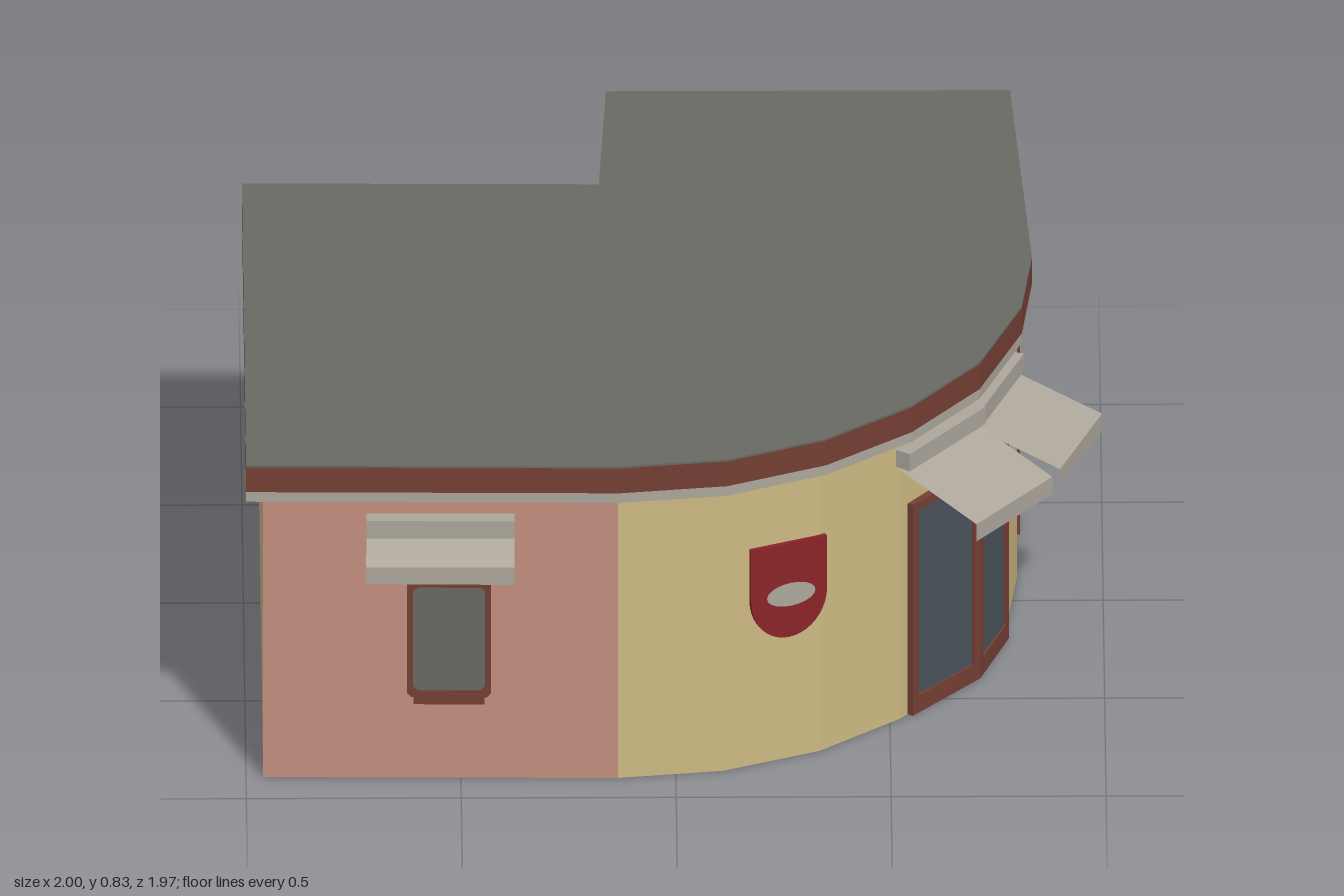
import * as THREE from 'three';

const mat = (name, color) =>
  new THREE.MeshStandardMaterial({ name, color, side: THREE.DoubleSide });

export function createModel() {
  const yellow = mat('yellow plaster', 0xccb882);
  const pink = mat('pink plaster', 0xc48e80);
  const grey = mat('roof grey', 0x686962);
  const pale = mat('pale grey', 0xaca69b);
  const brown = mat('brown', 0x743f34);
  const blue = mat('door glass', 0x4a535b);
  const red = mat('red', 0x8a2428);

  const model = new THREE.Group();
  model.name = 'cornerBuilding';

  // Plan outlines as [x, z], running along the front and round the curved corner
  const wallPlan = [[-0.96, 0.89], [-0.135, 0.9], [0.11, 0.865], [0.335, 0.765], [0.525, 0.6], [0.68, 0.39],
    [0.775, 0.12], [0.8, -0.12], [0.755, -0.945], [-0.115, -0.945], [-0.135, -0.475], [-0.96, -0.485]];
  const roofPlan = [[-1, 0.92], [-0.13, 0.932], [0.12, 0.897], [0.35, 0.792], [0.55, 0.625], [0.71, 0.405],
    [0.81, 0.12], [0.835, -0.13], [0.79, -0.985], [-0.15, -0.985], [-0.17, -0.51], [-1, -0.52]];

  const add = (parent, geometry, material, name, x = 0, y = 0, z = 0) => {
    const mesh = new THREE.Mesh(geometry, material);
    mesh.name = name;
    mesh.position.set(x, y, z);
    parent.add(mesh);
    return mesh;
  };

  // Group at the middle of a wall segment: local x runs along it, local z points outward
  const onSegment = (a, b, name) => {
    const g = new THREE.Group();
    g.name = name;
    g.position.set((a[0] + b[0]) / 2, 0, (a[1] + b[1]) / 2);
    g.rotation.y = Math.atan2(a[1] - b[1], b[0] - a[0]);
    g.userData.length = Math.hypot(b[0] - a[0], b[1] - a[1]);
    model.add(g);
    return g;
  };
  const onWall = (i, name) => onSegment(wallPlan[i], wallPlan[i + 1], name);

  // Upright band following a plan
  const band = (plan, y0, y1, materialOf, name) => plan.forEach((a, i) => {
    const g = onSegment(a, plan[(i + 1) % plan.length], name);
    add(g, new THREE.PlaneGeometry(g.userData.length, y1 - y0), materialOf(i), name + 'Panel', 0, (y0 + y1) / 2);
  });

  band(wallPlan, 0, 0.76, (i) => (i === 0 ? pink : yellow), 'wall');
  band(roofPlan, 0.735, 0.76, () => pale, 'corniceBand');
  band(roofPlan, 0.76, 0.825, () => brown, 'fascia');
  band(roofPlan, 0.825, 0.83, () => grey, 'roofEdge');

  // Roof slab and the soffit under the overhang
  const toVectors = (plan) => plan.map(([x, z]) => new THREE.Vector2(x, -z));
  const roof = new THREE.ShapeGeometry(new THREE.Shape(toVectors(roofPlan)));
  add(model, roof.rotateX(-Math.PI / 2), grey, 'roof', 0, 0.83, 0);
  const ring = new THREE.Shape(toVectors(roofPlan));
  ring.holes.push(new THREE.Path(toVectors(wallPlan)));
  const soffit = new THREE.ShapeGeometry(ring).rotateX(Math.PI / 2).scale(1, 1, -1);
  add(model, soffit, pale, 'soffit', 0, 0.735, 0);

  // Rectangle outline with cut corners
  const cutRect = (x0, y0, x1, y1, c) => [
    [x0 + c, y0], [x1 - c, y0], [x1, y0 + c], [x1, y1 - c],
    [x1 - c, y1], [x0 + c, y1], [x0, y1 - c], [x0, y0 + c],
  ].map(([x, y]) => new THREE.Vector2(x, y));

  // Frame with a pane inside it
  const framed = (g, o) => {
    const [x0, x1] = [o.x - o.w / 2, o.x + o.w / 2];
    const inner = cutRect(x0 + o.side, o.y0 + o.bottom, x1 - o.side, o.y1 - o.side, o.cut);
    const shape = new THREE.Shape(cutRect(x0, o.y0, x1, o.y1, o.cut));
    shape.holes.push(new THREE.Path(inner));
    const frame = new THREE.ExtrudeGeometry(shape, { depth: o.front - o.back, bevelEnabled: false });
    add(g, frame, brown, 'frame', 0, 0, o.back);
    add(g, new THREE.ShapeGeometry(new THREE.Shape(inner)), o.pane, 'pane', 0, 0, o.front - 0.006);
  };

  // Awning: roller box, sloping sheet and hanging valance
  const awning = (g, x, w, top, reach, drop) => {
    add(g, new THREE.BoxGeometry(w, 0.045, 0.04), pale, 'awningBox', x, top - 0.0225, 0.02);
    const sheet = new THREE.PlaneGeometry(w, 1, 1, 2);
    const rows = [[top - 0.045, 0], [top - 0.045 - drop, reach], [top - 0.09 - drop, reach]];
    const p = sheet.attributes.position;
    for (let i = 0; i < p.count; i++) {
      const [y, z] = rows[Math.floor(i / 2)];
      p.setXYZ(i, p.getX(i), y, z);
    }
    const flat = sheet.toNonIndexed();
    flat.computeVertexNormals();
    add(g, flat, pale, 'awningSheet', x);
  };

  // Front window with sill and awning
  const frontWindow = onWall(0, 'frontWindow');
  framed(frontWindow, { x: 0.02, w: 0.195, y0: 0.215, y1: 0.515, side: 0.014, bottom: 0.016, cut: 0.01,
    back: -0.02, front: 0.01, pane: grey });
  add(frontWindow, new THREE.BoxGeometry(0.165, 0.025, 0.03), brown, 'sill', 0.02, 0.21, -0.003);
  awning(frontWindow, 0, 0.345, 0.69, 0.09, 0.05);

  // Corner entrance: two leaves meeting at the bend, each under an awning
  const leafPoints = [[0.55, 0.585], [0.708, 0.395], [0.776, 0.19]];
  for (let i = 0; i < 2; i++) {
    const leaf = onSegment(leafPoints[i], leafPoints[i + 1], 'entranceLeaf');
    framed(leaf, { x: 0, w: leaf.userData.length, y0: 0, y1: 0.55, side: 0.022, bottom: 0.045, cut: 0,
      back: -0.035, front: 0.004, pane: blue });
    awning(onWall(4 + i, 'entranceAwning'), 0, 0.3, 0.71, 0.232, 0.08);
  }

  // Side door
  framed(onWall(7, 'sideDoor'), { x: -0.09, w: 0.215, y0: 0, y1: 0.535, side: 0.027, bottom: 0.05, cut: 0,
    back: -0.01, front: 0.02, pane: blue });

  // Shield-shaped sign with a plain oval
  const sign = onWall(2, 'sign');
  const shield = new THREE.Shape();
  shield.moveTo(-0.097, 0.565);
  shield.lineTo(-0.097, 0.43);
  shield.absellipse(0, 0.43, 0.097, 0.11, Math.PI, Math.PI * 2, false);
  shield.lineTo(0.097, 0.565);
  add(sign, new THREE.ExtrudeGeometry(shield, { depth: 0.012, bevelEnabled: false, curveSegments: 10 }),
    red, 'shield', 0.041, 0, -0.002);
  const oval = new THREE.CircleGeometry(1, 20).scale(0.062, 0.03, 1);
  add(sign, oval, pale, 'oval', 0.045, 0.432, 0.013);

  return model;
}
